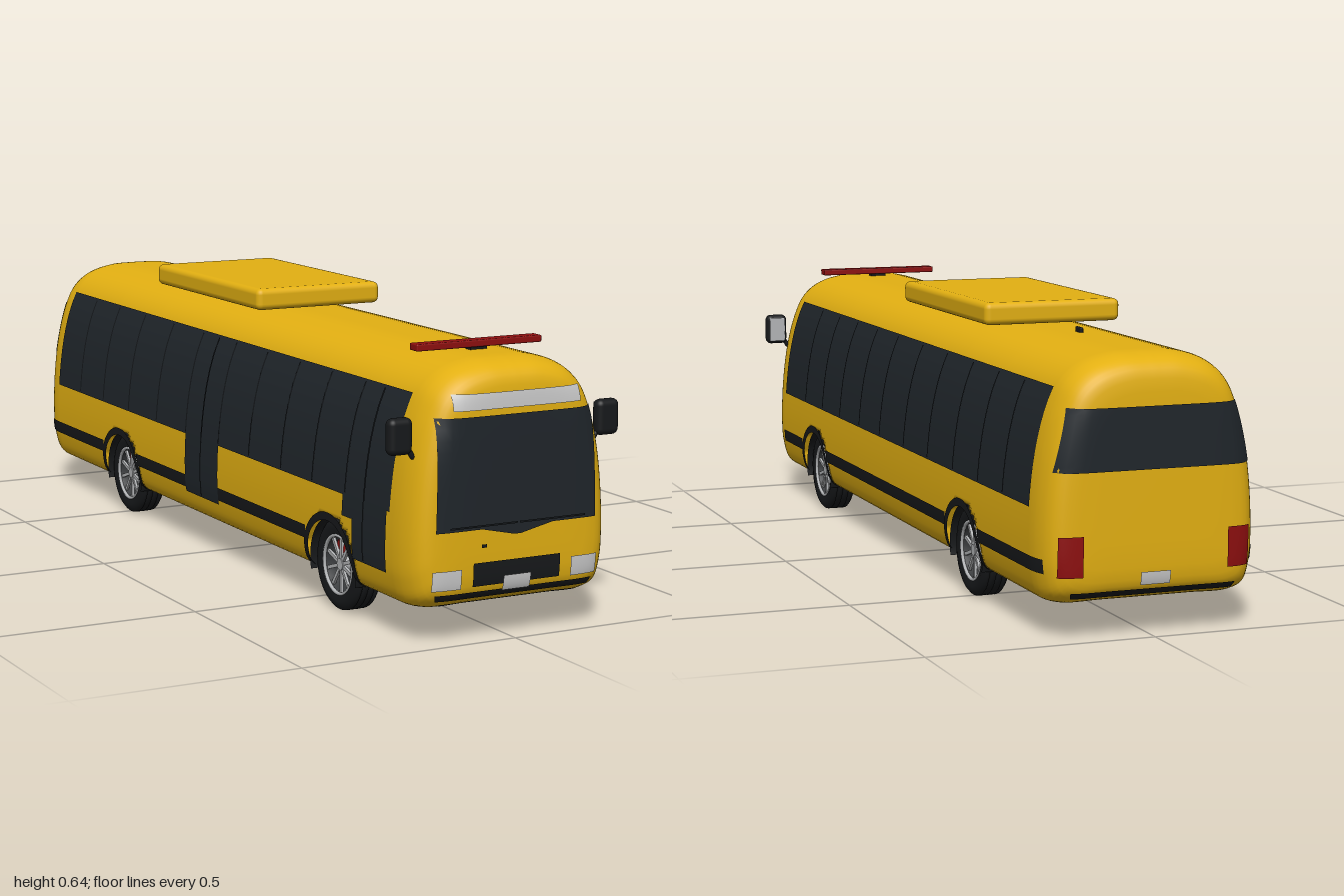
import * as THREE from 'three';
import { RoundedBoxGeometry } from 'three/addons/geometries/RoundedBoxGeometry.js';

const mat = (color, side = THREE.FrontSide) => new THREE.MeshStandardMaterial({ color, side });
const D = THREE.DoubleSide;
const yellow = mat(0xe3b012), glass = mat(0x20262b, D), black = mat(0x17191b, D), pillar = mat(0x14171a, D);
const red = mat(0x8e0f0f, D), white = mat(0xd4d6d8, D), silver = mat(0xb4b6b8), dark = mat(0x3a3c3e, D);

// Half cross-section of the body, from the floor centre up to the roof centre
const YC = 0.33, N = 96, POW = 12;
const half = new THREE.CatmullRomCurve3([
  [0, 0.07], [0.1, 0.07], [0.19, 0.071], [0.222, 0.085], [0.237, 0.13], [0.241, 0.19], [0.236, 0.3],
  [0.222, 0.4], [0.2, 0.48], [0.175, 0.53], [0.135, 0.563], [0.07, 0.582], [0, 0.585],
].map(([x, y]) => new THREE.Vector3(x, y, 0))).getSpacedPoints(N);
const loop = [...half, ...half.slice(1, N).reverse().map(p => new THREE.Vector3(-p.x, p.y, 0))];

// Scale of the cross-section that passes through (x, y): 1 on the skin, 0 at the centre
function gauge(x, y) {
  const px = Math.abs(x), py = y - YC, th = Math.atan2(px, -py);
  let i = 1;
  while (i < N && Math.atan2(half[i].x, YC - half[i].y) < th) i++;
  const a = half[i - 1], b = half[i], dx = b.x - a.x, dy = b.y - a.y;
  return (px * dy - py * dx) / (a.x * dy - (a.y - YC) * dx);
}
// Domed ends: z for a given scale, and the scale for a given z
const endZ = k => 0.9 + 0.1 * Math.sqrt(Math.max(0, 1 - k ** POW));
const scaleAt = z => {
  const t = Math.max(0, (Math.abs(z) - 0.9) / 0.1);
  return Math.max(0, 1 - t * t) ** (1 / POW);
};
// Half width of the body at a height and length
function sideX(y, z) {
  const k = scaleAt(z);
  let lo = 0, hi = 0.3;
  for (let i = 0; i < 24; i++) {
    const m = (lo + hi) / 2;
    if (gauge(m, y) < k) lo = m; else hi = m;
  }
  return lo;
}

// Surface through a grid of points
function grid(nu, nv, fn, flip = false, wrap = false) {
  const pos = [], idx = [], cols = wrap ? nu : nu + 1;
  for (let j = 0; j <= nv; j++) for (let i = 0; i < cols; i++) pos.push(...fn(i / nu, j / nv));
  for (let j = 0; j < nv; j++) for (let i = 0; i < nu; i++) {
    const a = j * cols + i, b = j * cols + (i + 1) % cols, c = a + cols, d = b + cols;
    if (flip) idx.push(a, c, b, b, c, d); else idx.push(a, b, c, b, d, c);
  }
  const g = new THREE.BufferGeometry();
  g.setAttribute('position', new THREE.Float32BufferAttribute(pos, 3));
  g.setIndex(idx);
  g.computeVertexNormals();
  return g;
}

const WHEEL_Z = [0.625, -0.495], WHEEL_Y = 0.1;

// Body shell lofted along z, with the wheel wells pushed inwards
function bodyGeometry() {
  const ks = [1, 0.999, 0.995, 0.99, 0.98, 0.965, 0.95, 0.93, 0.91, 0.88, 0.85, 0.8, 0.7, 0.5, 0];
  const st = ks.map(k => [endZ(k), k]);
  for (const zc of WHEEL_Z) for (let i = -13; i <= 13; i++) st.push([zc + i * 0.01, 1]);
  for (const z of [0.82, 0.4, 0.2, 0, -0.2, -0.75]) st.push([z, 1]);
  st.push(...ks.map(k => [-endZ(k), k]));
  st.sort((a, b) => a[0] - b[0] || (a[0] < 0 ? a[1] - b[1] : b[1] - a[1]));
  const n = loop.length, m = st.length - 1;
  return grid(n, m, (u, v) => {
    const p = loop[Math.round(u * n) % n], [z, k] = st[Math.round(v * m)];
    let x = p.x * k;
    const y = YC + (p.y - YC) * k;
    const inWell = WHEEL_Z.some(zc => Math.hypot(z - zc, y - WHEEL_Y) < 0.11);
    if (inWell && Math.abs(x) > 0.15) x = Math.sign(x) * 0.15;
    return [x, y, z];
  }, false, true);
}

export function createModel() {
  const bus = new THREE.Group();
  bus.name = 'bus';
  const add = (name, geo, m, x = 0, y = 0, z = 0, parent = bus) => {
    const o = new THREE.Mesh(geo, m);
    o.name = name;
    o.position.set(x, y, z);
    parent.add(o);
    return o;
  };
  // Panel lying on a side wall
  const side = (name, s, y0, y1, z0, z1, m, off = 0.002) => add(name, grid(16, 10, (u, v) => {
    const y = y0 + (y1 - y0) * v, z = z0 + (z1 - z0) * u;
    return [s * (sideX(y, z) + off), y, z];
  }, s > 0), m);
  // Panel lying on the front (s = 1) or rear (s = -1), w0 and w1 are half widths at bottom and top
  const end = (name, s, cx, y0, y1, w0, w1, m, off = 0.003) => add(name, grid(24, 10, (u, v) => {
    const y = y0 + (y1 - y0) * v, x = cx + (w0 + (w1 - w0) * v) * (2 * u - 1);
    return [x, y, s * (endZ(Math.min(gauge(x, y), 0.995)) + off)];
  }, s < 0), m);

  add('body', bodyGeometry(), yellow);

  // Side windows, pillars and lower trim strips
  for (const s of [1, -1]) {
    side('sideWindows', s, 0.27, 0.515, -0.9, 0.89, glass);
    for (const z of [0.7, 0.55, 0.4, 0.24, 0.08, -0.1, -0.27, -0.44, -0.6, -0.75])
      side('windowPillar', s, 0.275, 0.51, z - 0.003, z + 0.003, pillar, 0.0035);
    side('trimStrip', s, 0.14, 0.17, -0.39, 0.52, black);
    side('trimStrip', s, 0.14, 0.17, -0.96, -0.6, black);
  }
  side('trimStrip', 1, 0.14, 0.17, 0.73, 0.9, black);

  // Doors on the right side
  side('frontDoor', -1, 0.14, 0.275, 0.735, 0.88, glass, 0.003);
  side('frontDoorUpper', -1, 0.225, 0.275, 0.69, 0.735, glass, 0.003);
  side('middleDoor', -1, 0.13, 0.275, -0.1, 0.08, glass, 0.003);
  side('doorSeam', -1, 0.135, 0.51, -0.013, -0.007, pillar, 0.005);
  side('doorSeam', -1, 0.145, 0.51, 0.782, 0.788, pillar, 0.005);

  // Front end
  end('windshield', 1, 0, 0.24, 0.475, 0.193, 0.187, glass);
  end('windshieldPoint', 1, 0, 0.223, 0.24, 0.008, 0.085, glass);
  end('destinationSign', 1, 0, 0.488, 0.522, 0.153, 0.153, white);
  end('grille', 1, 0, 0.12, 0.17, 0.105, 0.105, black);
  end('frontPlate', 1, 0, 0.105, 0.138, 0.033, 0.033, white, 0.006);
  end('bumperStrip', 1, 0, 0.093, 0.108, 0.185, 0.19, black);
  end('bumperLip', 1, 0, 0.076, 0.083, 0.165, 0.17, black);
  end('frontSensor', 1, -0.08, 0.201, 0.208, 0.006, 0.006, black);
  for (const s of [1, -1]) {
    end('headlight', 1, s * 0.166, 0.118, 0.16, 0.033, 0.033, white);
    end('wiper', 1, s * 0.083, 0.246, 0.25, 0.08, 0.08, pillar, 0.007);
  }

  // Rear end
  end('rearWindow', -1, 0, 0.35, 0.48, 0.218, 0.188, glass);
  end('rearPlate', -1, 0, 0.11, 0.138, 0.033, 0.033, white);
  end('rearBumperStrip', -1, 0, 0.087, 0.101, 0.18, 0.185, black);
  for (const s of [1, -1]) end('tailLight', -1, s * 0.187, 0.135, 0.22, 0.026, 0.026, red);

  // Roof equipment
  add('roofUnit', new RoundedBoxGeometry(0.322, 0.05, 0.565, 3, 0.014), yellow, 0, 0.613, -0.153);
  add('roofUnitBase', new THREE.BoxGeometry(0.1, 0.02, 0.45), yellow, 0, 0.585, -0.153);
  add('lightBar', new RoundedBoxGeometry(0.305, 0.015, 0.032, 2, 0.003), red, 0, 0.598, 0.83);
  add('lightBarMount', new THREE.BoxGeometry(0.04, 0.02, 0.02), black, 0, 0.583, 0.83);
  add('antenna', new RoundedBoxGeometry(0.008, 0.016, 0.03, 2, 0.003), black, 0, 0.588, -0.585);

  // Mirrors
  for (const s of [1, -1]) {
    const mirror = new THREE.Group();
    mirror.name = 'mirror';
    bus.add(mirror);
    add('mirrorHousing', new RoundedBoxGeometry(0.056, 0.077, 0.03, 4, 0.014), black, s * 0.251, 0.438, 0.945, mirror);
    add('mirrorGlass', new RoundedBoxGeometry(0.042, 0.062, 0.004, 2, 0.002), silver, s * 0.251, 0.438, 0.93, mirror);
    const arm = new THREE.CatmullRomCurve3([[0.243, 0.41], [0.227, 0.405], [0.218, 0.393], [0.2, 0.388]]
      .map(([x, y]) => new THREE.Vector3(s * x, y, 0.945)));
    add('mirrorArm', new THREE.TubeGeometry(arm, 12, 0.006, 8), black, 0, 0, 0, mirror);
  }

  // Wheels, wheel wells and arches
  const lathe = (pts, ...rest) => new THREE.LatheGeometry(pts.map(p => new THREE.Vector2(...p)), ...rest);
  const tread = [-0.015, 0, 0.015].flatMap(y => [[0.1, y - 0.003], [0.096, y - 0.002], [0.096, y + 0.002], [0.1, y + 0.003]]);
  const tyre = lathe([[0.066, -0.028], [0.08, -0.031], [0.092, -0.029], [0.099, -0.023], ...tread,
    [0.099, 0.023], [0.092, 0.029], [0.08, 0.031], [0.066, 0.028]], 48);
  const barrel = lathe([[0, -0.01], [0.06, -0.01], [0.062, 0.02], [0.067, 0.028]], 40);
  const rim = new THREE.TorusGeometry(0.064, 0.004, 8, 40).rotateX(Math.PI / 2);
  const spoke = new THREE.BoxGeometry(0.05, 0.006, 0.008).translate(0.037, 0.018, 0);
  for (const zc of WHEEL_Z) for (const s of [1, -1]) {
    const wheel = new THREE.Group();
    wheel.name = 'wheel';
    wheel.position.set(s * 0.19, WHEEL_Y, zc);
    wheel.rotation.z = -s * Math.PI / 2;
    bus.add(wheel);
    add('tyre', tyre, black, 0, 0, 0, wheel);
    add('rimBarrel', barrel, dark, 0, 0, 0, wheel);
    add('rimEdge', rim, silver, 0, 0.026, 0, wheel);
    add('hub', new THREE.CylinderGeometry(0.013, 0.016, 0.03, 20), silver, 0, 0.008, 0, wheel);
    add('brakeCaliper', new THREE.BoxGeometry(0.03, 0.012, 0.016), red, -s * 0.03, 0.002, -0.03, wheel);
    for (let i = 0; i < 10; i++) add('spoke', spoke, silver, 0, 0, 0, wheel).rotation.y = i * Math.PI / 5;
    const span = Math.PI + 0.56;
    add('wheelWell', lathe([[0, -0.037], [0.104, -0.037], [0.104, 0.04]], 32, -s * Math.PI / 2 - span / 2, span),
      black, 0, 0, 0, wheel);
    add('wheelArch', grid(40, 3, (u, v) => {
      const a = -0.2 + u * (Math.PI + 0.4), r = 0.1 + 0.018 * v;
      const y = Math.max(0.074, WHEEL_Y + r * Math.sin(a)), z = zc + r * Math.cos(a);
      return [s * (sideX(y, z) + 0.003), y, z];
    }, s < 0), black);
  }
  return bus;
}
